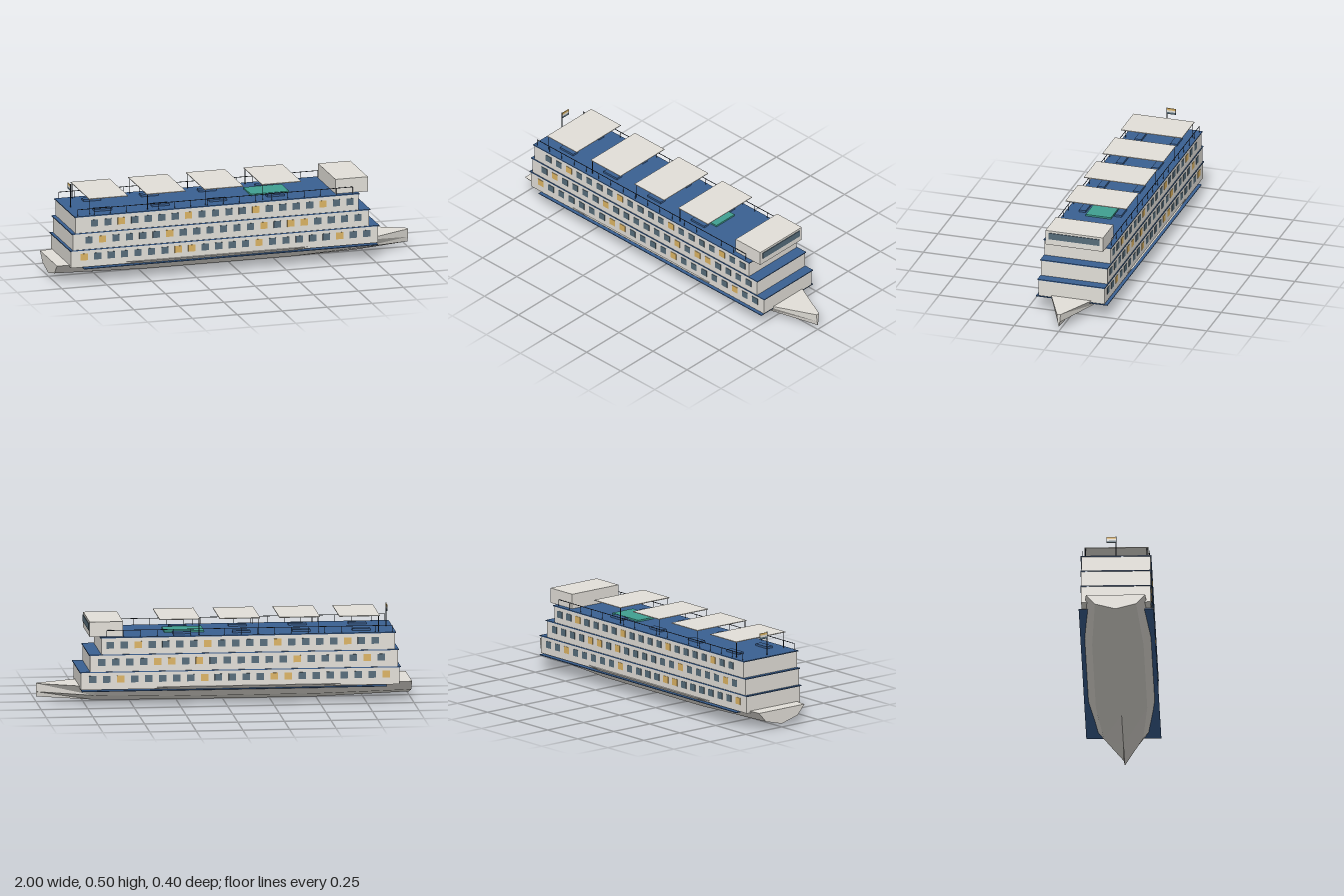
import * as THREE from 'three';

const mat = (name, color) => {
  const m = new THREE.MeshStandardMaterial({ color });
  m.name = name;
  return m;
};

export function createModel() {
  const ship = new THREE.Group();
  ship.name = 'cruiseShip';
  const white = mat('white', 0xe2dfd8);
  const blue = mat('deckBlue', 0x3a6092);
  const glass = mat('windowGlass', 0x566c7a);
  const gold = mat('litGold', 0xdcb464);
  const teal = mat('poolTeal', 0x40a090);
  const metal = mat('darkMetal', 0x232b36);

  // Box given by its minimum and maximum on each axis
  const box = (name, m, [x0, x1], [y0, y1], [z0, z1], parent = ship) => {
    const mesh = new THREE.Mesh(new THREE.BoxGeometry(x1 - x0, y1 - y0, z1 - z0), m);
    mesh.position.set((x0 + x1) / 2, (y0 + y1) / 2, (z0 + z1) / 2);
    mesh.name = name;
    parent.add(mesh);
    return mesh;
  };
  const post = (name, x, y0, y1, z, r, parent = ship) => {
    const mesh = new THREE.Mesh(new THREE.CylinderGeometry(r, r, y1 - y0, 6), metal);
    mesh.position.set(x, (y0 + y1) / 2, z);
    mesh.name = name;
    parent.add(mesh);
  };
  const group = (name) => {
    const g = new THREE.Group();
    g.name = name;
    ship.add(g);
    return g;
  };

  // Hull: chined cross-sections [x, half beam, chine half beam, chine y, keel y]
  const sections = [
    [-1, 0.158, 0.11, 0.047, 0.018],
    [-0.5, 0.195, 0.137, 0.04, 0],
    [0.3, 0.195, 0.137, 0.04, 0],
    [0.7, 0.15, 0.105, 0.046, 0.006],
    [1, 0.01, 0.006, 0.055, 0.028],
  ].map(([x, w, c, cy, ky]) => [
    [x, 0.1, w], [x, cy, c], [x, ky, 0], [x, cy, -c], [x, 0.1, -w],
  ]);
  const verts = [];
  const tri = (...points) => points.forEach((p) => verts.push(...p));
  for (let i = 0; i < sections.length - 1; i++) {
    for (let j = 0; j < 5; j++) {
      const k = (j + 1) % 5;
      const a = sections[i][j], d = sections[i][k];
      const b = sections[i + 1][j], c = sections[i + 1][k];
      tri(a, d, c);
      tri(a, c, b);
    }
  }
  const stern = sections[0], bow = sections[sections.length - 1];
  for (let k = 1; k < 4; k++) {
    tri(stern[0], stern[k + 1], stern[k]);
    tri(bow[0], bow[k], bow[k + 1]);
  }
  const hullGeo = new THREE.BufferGeometry();
  hullGeo.setAttribute('position', new THREE.Float32BufferAttribute(verts, 3));
  hullGeo.computeVertexNormals();
  const hull = new THREE.Mesh(hullGeo, white);
  hull.name = 'hull';
  ship.add(hull);

  // Fender strip around the hull
  box('fenderStrip', blue, [-0.86, 0.775], [0.081, 0.085], [-0.2, 0.2]);

  // Three storeys, each with a blue deck plate and a row of windows per side
  const storeys = [
    { x: [-0.93, 0.78], y: [0.09, 0.183], start: -0.857, count: 22, winY: 0.146, lit: [0, 7, 8, 13, 19] },
    { x: [-0.92, 0.73], y: [0.185, 0.276], start: -0.83, count: 21, winY: 0.238, lit: [1, 6, 13, 15, 16] },
    { x: [-0.905, 0.67], y: [0.278, 0.369], start: -0.8, count: 20, winY: 0.33, lit: [2, 7, 12, 17] },
  ];
  storeys.forEach(({ x, y, start, count, winY, lit }, n) => {
    const storey = group('storey' + (n + 1));
    box('walls', white, x, y, [-0.185, 0.185], storey);
    box('deckPlate', blue, [x[0] - 0.006, x[1] + 0.006], [y[1] - 0.001, y[1] + 0.004], [-0.189, 0.189], storey);
    for (let i = 0; i < count; i++) {
      const cx = start + i * 0.0749;
      for (const s of [-1, 1]) {
        const w = box('window', lit.includes(i) ? gold : glass, [cx - 0.02, cx + 0.02],
          [winY - 0.0185, winY + 0.0185], [-0.002, 0.002], storey);
        w.position.z = s * 0.185;
      }
    }
  });
  const deckY = 0.373;

  // Side railings on the sun deck
  const railing = group('railings');
  for (const z of [-0.178, 0.178]) {
    box('handrail', metal, [-0.89, 0.64], [0.407, 0.41], [z - 0.0012, z + 0.0012], railing);
    for (let i = 0; i <= 17; i++) post('railPost', -0.89 + i * 0.09, deckY, 0.409, z, 0.0013, railing);
  }

  // Sun canopies on posts, with loungers beneath
  for (let i = 0; i < 4; i++) {
    const x = -0.825 + i * 0.321;
    const canopy = group('sunCanopy');
    box('canopyRoof', white, [x, x + 0.217], [0.458, 0.462], [-0.171, 0.171], canopy);
    for (const z of [-0.164, 0.164]) {
      post('canopyPost', x + 0.006, deckY, 0.459, z, 0.002, canopy);
      const s = Math.sign(z);
      box('lounger', blue, [x + 0.045, x + 0.142], [deckY, 0.384], [s * 0.1 - 0.019, s * 0.1 + 0.019], canopy);
    }
  }

  // Pool
  box('pool', teal, [0.107, 0.32], [deckY - 0.002, 0.382], [-0.073, 0.068]);

  // Wheelhouse with a wide front window
  box('wheelhouse', white, [0.55, 0.73], [deckY - 0.001, 0.453], [-0.161, 0.161]);
  box('wheelhouseWindow', glass, [0.728, 0.734], [0.405, 0.441], [-0.142, 0.142]);

  // Flagpole and striped flag at the stern
  post('flagpole', -0.877, deckY, 0.5, 0, 0.002);
  [[gold, 0.486], [white, 0.475], [glass, 0.464]].forEach(([m, y]) =>
    box('flagStripe', m, [-0.879, -0.875], [y, y + 0.011], [-0.05, 0]));

  return ship;
}
